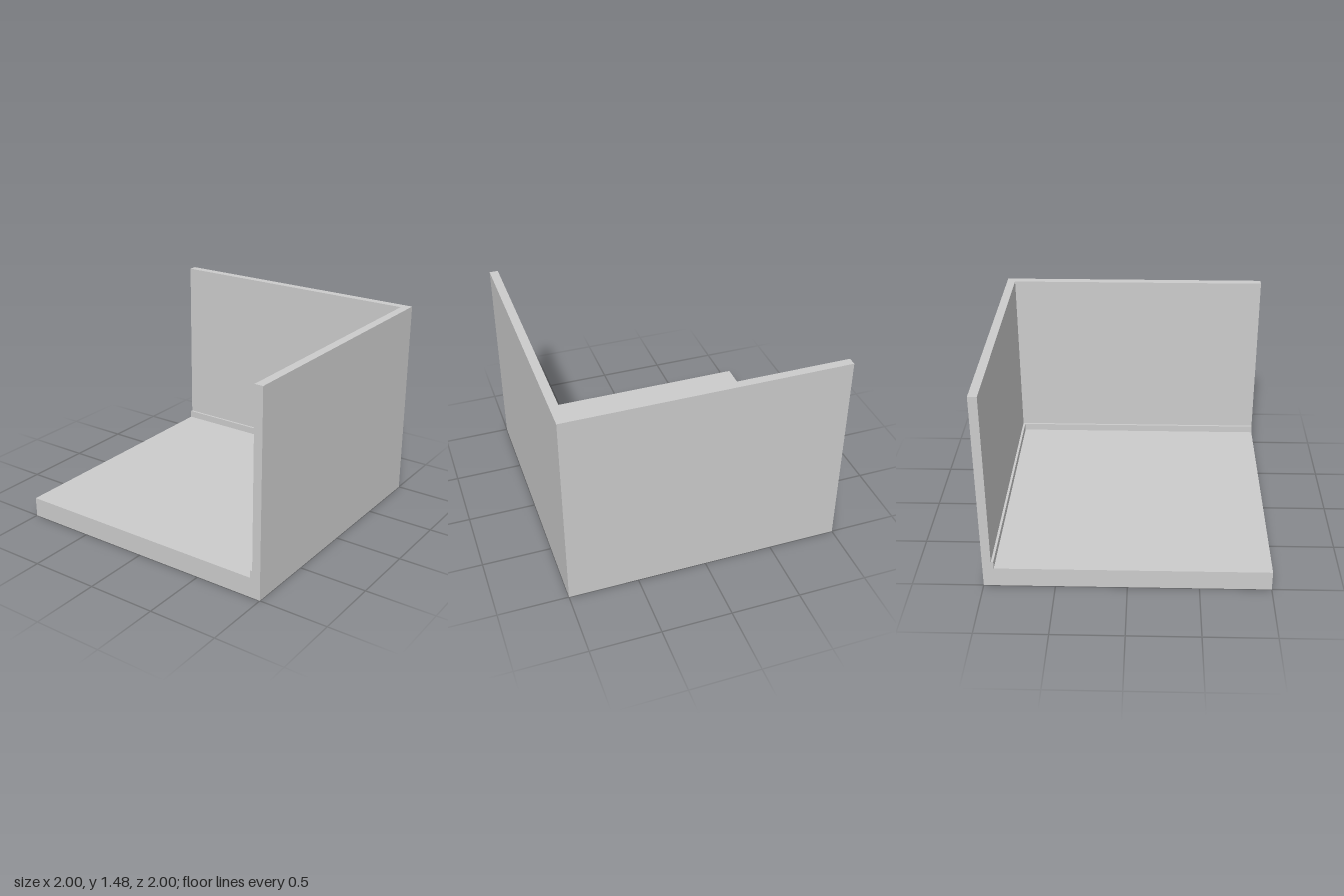
import * as THREE from 'three';

const FLOOR_TOP = 0.145;
const BOARD_TOP = 0.2;
const WALL_TOP = 1.484;
const WALL_INNER = 0.938;
const BOARD_INNER = 0.921;

export function createModel() {
  const room = new THREE.Group();
  room.name = 'roomCorner';
  const material = new THREE.MeshStandardMaterial({ color: 0xcccccc });

  // L-shaped plan along the back (-z) and left (+x) sides, raised from bottom to top
  function addCorner(name, inner, outer, bottom, top) {
    const plan = new THREE.Shape([
      [-1, inner], [inner, inner], [inner, -1],
      [outer, -1], [outer, outer], [-1, outer],
    ].map(([x, y]) => new THREE.Vector2(x, y)));
    const geometry = new THREE.ExtrudeGeometry(plan, { depth: top - bottom, bevelEnabled: false });
    geometry.rotateX(-Math.PI / 2).translate(0, bottom, 0);
    const mesh = new THREE.Mesh(geometry, material);
    mesh.name = name;
    room.add(mesh);
  }

  // Floor slab
  const floor = new THREE.Mesh(new THREE.BoxGeometry(2, FLOOR_TOP, 2), material);
  floor.name = 'floor';
  floor.position.y = FLOOR_TOP / 2;
  room.add(floor);

  // Two joined walls and the skirting board at their foot
  addCorner('walls', WALL_INNER, 1, FLOOR_TOP, WALL_TOP);
  addCorner('skirtingBoard', BOARD_INNER, WALL_INNER, FLOOR_TOP, BOARD_TOP);

  return room;
}
